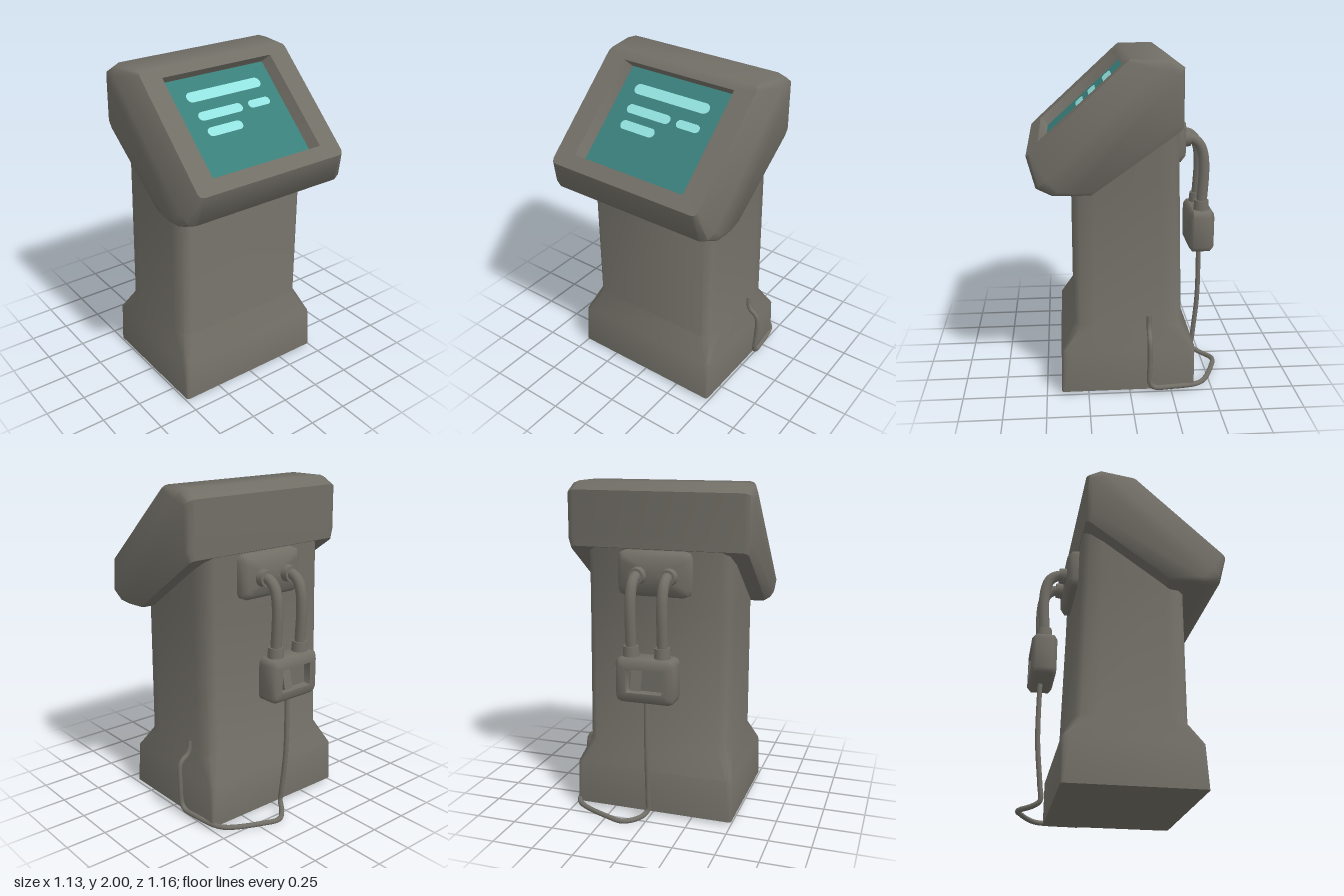
import * as THREE from 'three';
import { toCreasedNormals } from 'three/addons/utils/BufferGeometryUtils.js';

const material = (name, color) => {
  const m = new THREE.MeshStandardMaterial({ color });
  m.name = name;
  return m;
};

// Rounded rectangle across x, spanning from point a to point b, both given as [z, y]
function section(hw, b, a, rx, rv) {
  const len = Math.hypot(b[0] - a[0], b[1] - a[1]);
  const corners = [[1, -1], [1, 1], [-1, 1], [-1, -1]];
  const ring = [];
  corners.forEach(([sx, sv], c) => {
    for (let i = 0; i <= 2; i++) {
      const t = (c - 1 + i / 2) * Math.PI / 2;
      const x = sx * (hw - rx) + rx * Math.cos(t);
      const v = (sv * (len / 2 - rv) + rv * Math.sin(t)) / len + 0.5;
      ring.push([x, a[1] + (b[1] - a[1]) * v, a[0] + (b[0] - a[0]) * v]);
    }
  });
  return ring;
}

// Skin through the rings, with end caps
function loft(rings, capEnd = true) {
  const pos = [];
  const n = rings[0].length;
  const tri = (...pts) => pts.forEach((p) => pos.push(...p));
  const cap = (ring, flip) => {
    const mid = [0, 1, 2].map((k) => ring.reduce((s, p) => s + p[k], 0) / n);
    ring.forEach((p, i) => {
      const q = ring[(i + 1) % n];
      if (flip) tri(mid, q, p);
      else tri(mid, p, q);
    });
  };
  for (let k = 0; k < rings.length - 1; k++) {
    for (let i = 0; i < n; i++) {
      const j = (i + 1) % n;
      const [p, q, r, s] = [rings[k][i], rings[k][j], rings[k + 1][j], rings[k + 1][i]];
      tri(p, q, r);
      tri(p, r, s);
    }
  }
  cap(rings[0], true);
  if (capEnd) cap(rings[rings.length - 1], false);
  const g = new THREE.BufferGeometry();
  g.setAttribute('position', new THREE.Float32BufferAttribute(pos, 3));
  return toCreasedNormals(g, 0.9);
}

// Flat bar with round ends
function barGeometry(w, h) {
  const r = h / 2, s = new THREE.Shape();
  s.absarc(w / 2 - r, 0, r, -Math.PI / 2, Math.PI / 2);
  s.absarc(-w / 2 + r, 0, r, Math.PI / 2, Math.PI * 1.5);
  return new THREE.ExtrudeGeometry(s, { depth: 0.003, bevelEnabled: false, curveSegments: 6 });
}

const tube = (pts, r, segs) => new THREE.TubeGeometry(
  new THREE.CatmullRomCurve3(pts.map((p) => new THREE.Vector3(...p)), false, 'centripetal'), segs, r, 10);

export function createModel() {
  const group = new THREE.Group();
  const grey = material('warm grey casing', 0x716e66);
  const teal = material('teal screen', 0x3a7f7b);
  const cyan = material('pale cyan display', 0x92e2df);

  const add = (name, geometry, mat = grey, parent = group) => {
    const mesh = new THREE.Mesh(geometry, mat);
    mesh.name = name;
    parent.add(mesh);
    return mesh;
  };

  // Pedestal: flared foot and column, reaching up into the head
  add('pedestal', loft([
    section(0.497, [-0.39, 0.018], [0.412, 0.018], 0.015, 0.015),
    section(0.495, [-0.39, 0.28], [0.402, 0.28], 0.03, 0.04),
    section(0.452, [-0.315, 0.42], [0.325, 0.42], 0.06, 0.12),
    section(0.45, [-0.292, 1.28], [0.325, 1.28], 0.06, 0.12),
    section(0.45, [-0.286, 1.62], [0.2, 1.58], 0.06, 0.12),
  ])).position.x = -0.003;

  // Head: slanted console, its last two rings forming the screen recess
  add('head', loft([
    section(0.545, [-0.29, 1.62], [0.23, 1.25], 0.03, 0.03),
    section(0.565, [-0.29, 1.68], [0.34, 1.25], 0.04, 0.04),
    section(0.565, [-0.29, 1.95], [0.44, 1.25], 0.05, 0.05),
    section(0.565, [-0.22, 2.0], [0.53, 1.29], 0.065, 0.08),
    section(0.51, [0, 2.0], [0.58, 1.47], 0.03, 0.03),
    section(0.38, [0.04, 1.955], [0.514, 1.53], 0.004, 0.004),
    section(0.35, [0, 1.91], [0.47, 1.485], 0.004, 0.004),
  ], false));

  // Screen with its display bars
  const screen = new THREE.Group();
  screen.name = 'screen';
  screen.position.set(0, 1.6975, 0.235);
  screen.rotation.x = -Math.atan2(0.47, 0.425);
  group.add(screen);
  add('screenPanel', new THREE.PlaneGeometry(0.71, 0.64), teal, screen);
  [[-0.26, 0.26, 0.19, 0.065], [-0.245, 0.06, 0.063, 0.056],
    [0.105, 0.26, 0.063, 0.05], [-0.235, 0.005, -0.04, 0.056]].forEach(([x0, x1, y, h]) => {
    add('displayBar', barGeometry(x1 - x0, h), cyan, screen).position.set((x0 + x1) / 2, y, 0.002);
  });

  // Socket plate on the back
  add('socketPlate', loft([
    section(0.225, [-0.27, 1.35], [-0.27, 1.615], 0.04, 0.04),
    section(0.222, [-0.325, 1.35], [-0.325, 1.612], 0.04, 0.04),
    section(0.19, [-0.355, 1.38], [-0.355, 1.585], 0.03, 0.03),
  ]));

  // Pair of thick hoses with collars at both ends
  for (const x of [-0.103, 0.088]) {
    const socket = add('hoseSocket', new THREE.CylinderGeometry(0.047, 0.053, 0.05, 16));
    socket.rotation.x = -Math.PI / 2;
    socket.position.set(x, 1.475, -0.372);
    add('hose', tube([[x, 1.475, -0.36], [x, 1.472, -0.41], [x, 1.44, -0.453],
      [x, 1.38, -0.477], [x, 1.28, -0.486], [x, 1.05, -0.475]], 0.033, 30));
    add('hoseCollar', new THREE.CylinderGeometry(0.044, 0.05, 0.07, 16)).position.set(x, 1.052, -0.475);
  }

  // Connector box with a recessed window and a slanted latch
  const connector = new THREE.Group();
  connector.name = 'connector';
  connector.position.x = -0.012;
  group.add(connector);
  add('connectorBox', loft([
    section(0.155, [-0.40, 0.785], [-0.40, 1.005], 0.025, 0.025),
    section(0.177, [-0.42, 0.762], [-0.42, 1.028], 0.035, 0.035),
    section(0.177, [-0.525, 0.762], [-0.525, 1.028], 0.035, 0.035),
    section(0.155, [-0.55, 0.785], [-0.55, 1.005], 0.025, 0.025),
    section(0.11, [-0.55, 0.825], [-0.55, 0.965], 0.004, 0.004),
    section(0.105, [-0.505, 0.83], [-0.505, 0.96], 0.004, 0.004),
  ]), grey, connector);
  const latch = add('latch', new THREE.BoxGeometry(0.06, 0.12, 0.02), grey, connector);
  latch.position.set(0.055, 0.893, -0.52);
  latch.rotation.x = 0.25;

  // Thin cable trailing over the ground and into the side of the foot
  add('cable', tube([[-0.005, 0.78, -0.482], [-0.005, 0.4, -0.48], [0, 0.14, -0.456], [0.005, 0.05, -0.45],
    [0.03, 0.024, -0.49], [0.12, 0.016, -0.565], [0.24, 0.02, -0.54], [0.43, 0.027, -0.455],
    [0.475, 0.03, -0.4], [0.505, 0.034, -0.25], [0.515, 0.04, -0.145], [0.52, 0.07, -0.118],
    [0.528, 0.2, -0.116], [0.526, 0.335, -0.116], [0.505, 0.365, -0.116], [0.475, 0.385, -0.116],
    [0.457, 0.42, -0.116], [0.452, 0.48, -0.116]], 0.0155, 140));

  return group;
}
